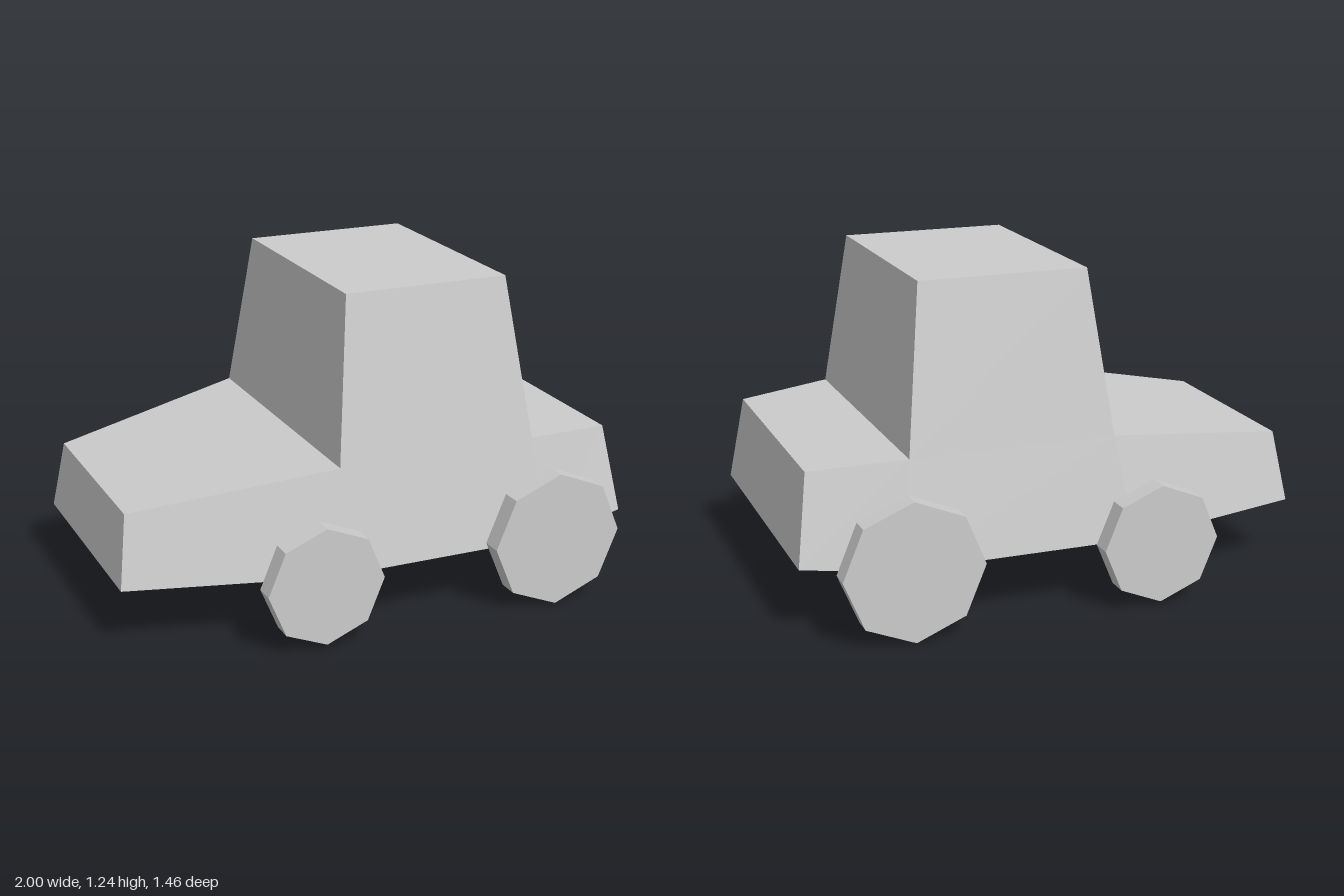
import * as THREE from 'three';

const material = new THREE.MeshStandardMaterial({ color: 0xcccccc, flatShading: true });

// Side outline, counter-clockwise from the nose: [x, y, half width]
const outline = [
  [-1, 0.24, 0.448], [-0.26, 0.24, 0.64], [0.65, 0.24, 0.64], [1, 0.265, 0.56],  // floor
  [0.95, 0.6, 0.49], [0.59, 0.627, 0.565],                                       // rear deck
  [0.515, 1.24, 0.455], [-0.13, 1.24, 0.455],                                    // roof
  [-0.2, 0.627, 0.565], [-0.96, 0.51, 0.393],                                    // bonnet
];
// Side panels: bonnet, middle, rear, cabin
const panels = [[0, 1, 8, 9], [1, 2, 5, 8], [2, 3, 4, 5], [8, 5, 6, 7]];

function bodyGeometry() {
  const positions = [];
  const corner = (i, side) => [outline[i][0], outline[i][1], side * outline[i][2]];
  const quad = (a, b, c, d) => positions.push(...a, ...b, ...c, ...a, ...c, ...d);

  // Mirrored side panels
  for (const panel of panels) {
    quad(...panel.map((i) => corner(i, 1)));
    quad(...[...panel].reverse().map((i) => corner(i, -1)));
  }
  // Strip across the width, all round the outline
  outline.forEach((_, i) => {
    const j = (i + 1) % outline.length;
    quad(corner(i, 1), corner(i, -1), corner(j, -1), corner(j, 1));
  });

  const geometry = new THREE.BufferGeometry();
  geometry.setAttribute('position', new THREE.Float32BufferAttribute(positions, 3));
  geometry.computeVertexNormals();
  return geometry;
}

export function createModel() {
  const model = new THREE.Group();
  model.name = 'car';

  const body = new THREE.Mesh(bodyGeometry(), material);
  body.name = 'body';
  body.position.z = 0.007;
  model.add(body);

  // Eight-sided wheels, the rear pair larger
  const axles = [
    { name: 'frontWheel', x: -0.32, y: 0.247, radius: 0.226 },
    { name: 'rearWheel', x: 0.628, y: 0.267, radius: 0.263 },
  ];
  for (const { name, x, y, radius } of axles) {
    const geometry = new THREE.CylinderGeometry(radius, radius, 0.08, 8).rotateX(Math.PI / 2);
    for (const side of [1, -1]) {
      const wheel = new THREE.Mesh(geometry, material);
      wheel.name = name + (side > 0 ? 'Near' : 'Far');
      wheel.position.set(x, y, side * 0.692);
      model.add(wheel);
    }
  }
  return model;
}
